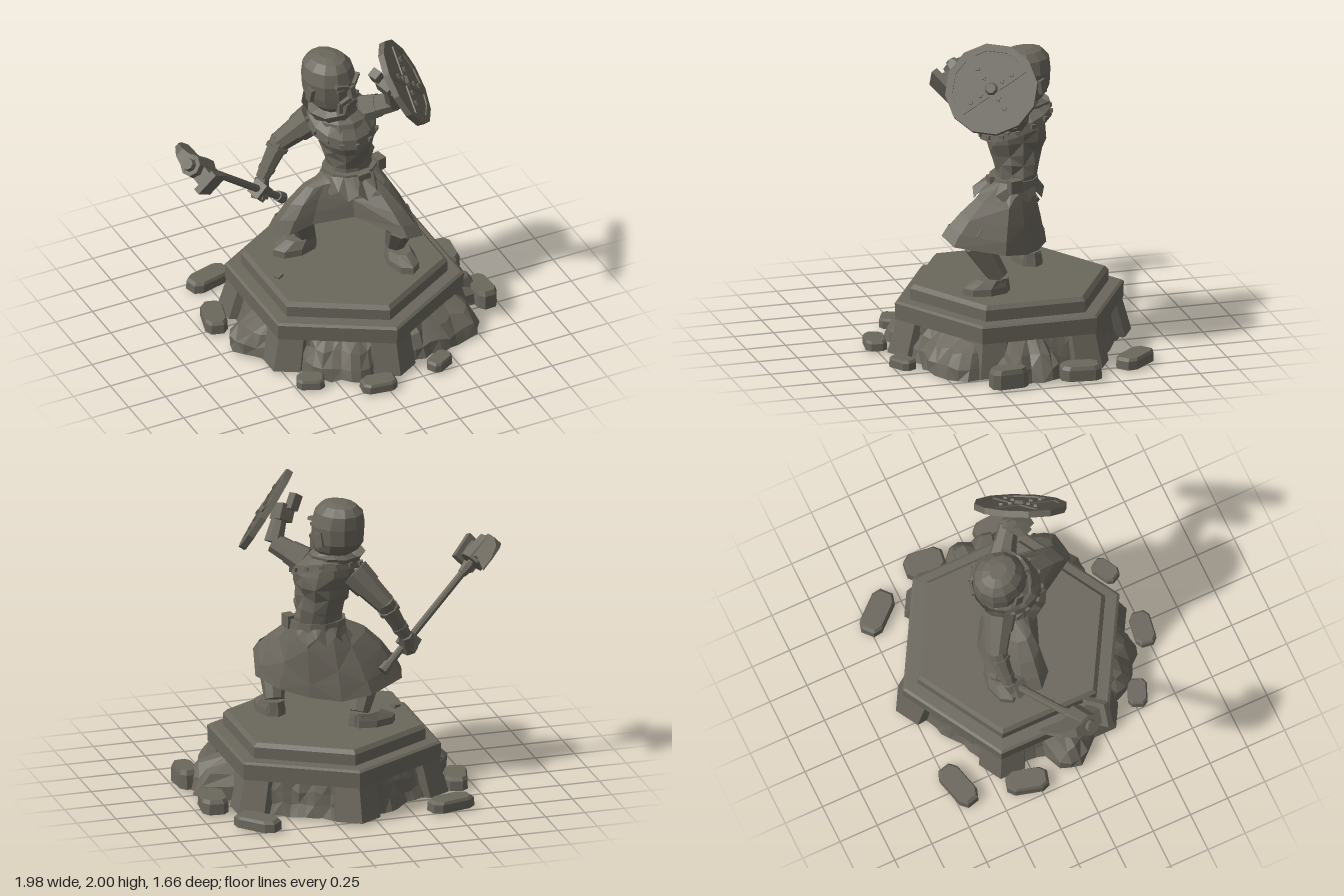
import * as THREE from 'three';

const stone = new THREE.MeshStandardMaterial({ color: 0x6b675d, side: THREE.DoubleSide });
stone.name = 'weathered stone';
const V = (x, y, z) => new THREE.Vector3(x, y, z);
const UP = V(0, 1, 0);

export function createModel() {
  const model = new THREE.Group();
  let seed = 7;
  const rnd = () => (seed = (seed * 16807) % 2147483647) / 2147483647 - 0.5;

  // Facet a geometry and add it under a name
  function add(name, geo, parent = model) {
    const g = geo.index ? geo.toNonIndexed() : geo;
    g.computeVertexNormals();
    const m = new THREE.Mesh(g, stone);
    m.name = name;
    parent.add(m);
    return m;
  }
  function box(name, size, pos, rot = [0, 0, 0], parent = model) {
    const m = add(name, new THREE.BoxGeometry(...size), parent);
    m.position.set(...pos);
    m.rotation.set(...rot);
    return m;
  }
  // Tapered segment from a to b
  function limb(name, a, b, ra, rb, n = 8) {
    const d = b.clone().sub(a);
    const m = add(name, new THREE.CylinderGeometry(rb, ra, d.length(), n));
    m.position.copy(a).addScaledVector(d, 0.5);
    m.quaternion.setFromUnitVectors(UP, d.normalize());
  }
  // Elliptical cross-section with optional roughness
  function ring(n, cx, y, cz, rx, rz, jit = 0) {
    return Array.from({ length: n }, (_, i) => {
      const a = (i / n) * Math.PI * 2, k = 1 + rnd() * jit;
      return V(cx + Math.sin(a) * rx * k, y + rnd() * jit * 0.2, cz + Math.cos(a) * rz * k);
    });
  }
  // Skin a stack of cross-sections, bottom to top
  function loft(rings, caps = true) {
    const p = [], n = rings[0].length;
    const tri = (...v) => v.forEach(q => p.push(q.x, q.y, q.z));
    for (let i = 0; i < rings.length - 1; i++)
      for (let j = 0; j < n; j++) {
        const k = (j + 1) % n, a = rings[i][j], b = rings[i][k], c = rings[i + 1][k], d = rings[i + 1][j];
        if ((i + j) % 2) { tri(a, b, c); tri(a, c, d); } else { tri(a, b, d); tri(b, c, d); }
      }
    if (caps) {
      const lo = rings[0], hi = rings[rings.length - 1];
      for (let j = 1; j < n - 1; j++) { tri(lo[0], lo[j + 1], lo[j]); tri(hi[0], hi[j], hi[j + 1]); }
    }
    const g = new THREE.BufferGeometry();
    g.setAttribute('position', new THREE.Float32BufferAttribute(p, 3));
    return g;
  }

  // Stepped hexagonal plinth, hollow below
  const CX = 0.115, CZ = -0.06;
  const steps = [[0, 0.35], [0.56, 0.35], [0.56, 0.23], [0.725, 0.23], [0.728, 0.33], [0.71, 0.342],
    [0.63, 0.345], [0.63, 0.415], [0.605, 0.44], [0, 0.44]].map(p => new THREE.Vector2(...p));
  add('plinth', new THREE.LatheGeometry(steps, 6)).position.set(CX, 0, CZ);

  // Rock shell: hexagonal wall swelling into boulders (x, z, radius)
  const boulders = [[-0.55, 0, 0.14], [-0.5, 0.08, 0.12], [0.78, -0.04, 0.15], [0.83, 0.12, 0.11], [0.64, 0.39, 0.15],
    [0.48, 0.45, 0.14], [0.31, 0.5, 0.11], [-0.1, 0.52, 0.14], [-0.26, 0.43, 0.13]];
  const hexR = a => 0.625 / Math.cos((a % (Math.PI / 3)) - Math.PI / 6);
  function rockR(a, wall, swell) {
    let r = hexR(a) * wall;
    for (const [x, z, br] of boulders) {
      const d = Math.hypot(x - CX, z - CZ), da = a - Math.atan2(x - CX, z - CZ), s = (br * swell) ** 2 - (d * Math.sin(da)) ** 2;
      if (s > 0 && Math.cos(da) > 0) r = Math.max(r, d * Math.cos(da) * (0.9 + 0.1 * swell) + Math.sqrt(s));
    }
    return r;
  }
  const shell = [[0.015, 1, 1], [0.09, 0.97, 0.92], [0.17, 0.95, 0.65], [0.235, 0.93, 0.1]].map(([y, wall, swell]) =>
    Array.from({ length: 78 }, (_, i) => {
      const a = (i / 78) * Math.PI * 2, r = rockR(a, wall, swell) * (1 + rnd() * 0.035);
      return V(CX + Math.sin(a) * r, y + (y < 0.2 ? rnd() * 0.025 : 0), CZ + Math.cos(a) * r);
    }));
  add('rockShell', loft(shell, false));

  // Flared corner buttresses
  for (let i = 0; i < 6; i++) {
    const rows = [[0.02, 0.775], [0.09, 0.755], [0.23, 0.715]].map(([y, r]) => {
      const e = r * 0.866 / Math.cos(Math.PI / 6 - 0.2), x = Math.sin(0.2) * e, z = Math.cos(0.2) * e;
      return [V(-0.13, y, 0.58), V(-x, y, z), V(0, y, r), V(x, y, z), V(0.13, y, 0.58)].reverse();
    });
    const b = add('cornerButtress', loft(rows));
    b.position.set(CX, 0, CZ);
    b.rotation.y = (i * Math.PI) / 3;
  }

  // Loose chamfered stones: x, z, length, width, turn, height
  const slab = (y, k) => [[0.5, 0.28], [0.5, -0.28], [0.33, -0.5], [-0.33, -0.5], [-0.5, -0.28], [-0.5, 0.28], [-0.33, 0.5], [0.33, 0.5]]
    .map(([x, z]) => V(x * k, y, z * k));
  for (const [x, z, l, w, t, h] of [[-0.49, -0.7, 0.29, 0.14, 0.25, 0.07], [0.73, -0.67, 0.29, 0.15, -0.85, 0.07],
    [-0.645, -0.31, 0.26, 0.14, 1.3, 0.08], [0.89, -0.275, 0.25, 0.16, 1.45, 0.09], [0.92, 0.19, 0.23, 0.13, -1.5, 0.12],
    [0.385, 0.7, 0.17, 0.11, 0.5, 0.06], [-0.05, 0.745, 0.22, 0.13, -0.15, 0.06], [-0.41, 0.54, 0.17, 0.12, -0.4, 0.06]]) {
    const s = add('looseStone', loft([slab(0, 1), slab(h * 0.75, 0.98), slab(h, 0.85)]));
    s.scale.set(l, 1, w);
    s.position.set(x, 0.012, z);
    s.rotation.y = t;
  }
  box('footing', [0.2, 0.03, 0.06], [0.12, 0.015, 0.6]);
  box('pebble', [0.05, 0.03, 0.04], [-0.35, 0.442, -0.02], [0, 0.5, 0.1]);

  // Legs and shoes
  function leg(side, hip, knee, ankle, turn) {
    limb(side + 'Thigh', hip, knee, 0.11, 0.09);
    limb(side + 'Calf', knee, ankle, 0.09, 0.062);
    limb(side + 'Ankle', ankle, V(ankle.x, 0.45, ankle.z), 0.062, 0.068);
    const shoe = add(side + 'Shoe', loft([ring(8, 0, 0, 0.08, 0.09, 0.155), ring(8, 0, 0.045, 0.08, 0.087, 0.15),
      ring(8, 0, 0.09, 0.04, 0.07, 0.1)]));
    shoe.position.set(ankle.x, 0.437, ankle.z);
    shoe.rotation.y = turn;
  }
  leg('left', V(0.22, 0.98, -0.02), V(0.36, 0.75, 0.22), V(0.385, 0.53, 0.09), 0.05);
  leg('right', V(0.08, 0.98, -0.1), V(-0.14, 0.75, -0.16), V(-0.05, 0.52, -0.25), -1.5);

  // Kilt stretched over the lunging knees
  const hem = [V(0.3, 0.8, 0.42), V(0.42, 0.76, 0.38), V(0.5, 0.7, 0.08), V(0.4, 0.66, -0.08), V(0.25, 0.63, -0.2), V(0.08, 0.62, -0.3),
    V(-0.1, 0.65, -0.32), V(-0.33, 0.69, -0.19), V(-0.36, 0.72, -0.08), V(-0.28, 0.74, 0), V(-0.13, 0.78, 0.01), V(0.1, 0.82, 0.1)];
  const waist = hem.map(h => {
    const a = Math.atan2(h.x - 0.15, h.z + 0.08);
    return V(0.16 + Math.sin(a) * 0.16, 1.07, -0.07 + Math.cos(a) * 0.13);
  });
  const mix = (t, lift) => hem.map((h, i) => h.clone().lerp(waist[i], t)
    .add(V(0, lift + Math.sin(t * Math.PI) * (h.x < -0.12 ? 0.055 : 0.01), 0)));
  add('kilt', loft([hem, mix(0.1, 0.02), mix(0.33, 0.025), mix(0.62, 0.02), waist], false));
  add('kiltHemBand', loft([mix(0, 0), mix(0.13, 0.025)].map(r => r.map(p => V(0.08 + (p.x - 0.08) * 1.02, p.y, p.z * 1.02))), false));

  // Pointed tunic skirt, faceted torso and belt
  const points = ring(20, 0.16, 0.99, -0.04, 0.195, 0.22).map((p, i) => V(p.x, p.y + (i % 2 ? 0.035 : -0.02), p.z));
  add('tunicSkirt', loft([points, ring(20, 0.16, 1.09, -0.07, 0.165, 0.135)], false));
  add('torso', loft([ring(12, 0.16, 1.05, -0.08, 0.155, 0.125), ring(12, 0.16, 1.13, -0.09, 0.15, 0.13, 0.12),
    ring(12, 0.16, 1.19, -0.095, 0.152, 0.145, 0.2), ring(12, 0.15, 1.26, -0.09, 0.16, 0.165, 0.2), ring(12, 0.14, 1.33, -0.09, 0.178, 0.182, 0.16),
    ring(12, 0.125, 1.41, -0.095, 0.195, 0.195, 0.08), ring(12, 0.115, 1.48, -0.11, 0.17, 0.17, 0.06), ring(12, 0.1, 1.55, -0.14, 0.1, 0.1)]));
  add('belt', loft([ring(12, 0.16, 1.05, -0.075, 0.178, 0.152), ring(12, 0.16, 1.1, -0.075, 0.173, 0.147)]));
  box('beltBuckle', [0.08, 0.07, 0.03], [0.18, 1.075, 0.08], [0, 0, 0.1]);
  box('beltPouch', [0.06, 0.08, 0.08], [0.33, 1.08, -0.03], [0, 0.2, 0]);

  // Studded yoke draped over the shoulders, and the standing collar
  const yokeRing = (rx, rz, y, dip) => ring(14, 0.115, 0, -0.1, rx, rz).map((p, i) =>
    V(p.x, y - dip * Math.cos((i / 14) * Math.PI * 2), p.z));
  const outer = yokeRing(0.215, 0.225, 1.405, 0.075);
  add('yoke', loft([outer, yokeRing(0.205, 0.215, 1.46, 0.065), yokeRing(0.13, 0.15, 1.52, 0.035)], false));
  outer.forEach(p => box('yokeStud', [0.025, 0.025, 0.02], [p.x, p.y + 0.028, p.z * 0.98],
    [0, Math.atan2(p.x - 0.115, p.z + 0.1), 0]));
  add('collar', loft([ring(10, 0.09, 1.46, -0.13, 0.15, 0.15), ring(10, 0.06, 1.54, -0.15, 0.18, 0.185, 0.12)], false));

  // Head turned a little to its left
  const head = new THREE.Group();
  head.name = 'head';
  head.position.set(0.06, 1.53, -0.165);
  head.rotation.y = 0.42;
  model.add(head);
  add('skull', loft([[0, 0.1, 0.1, 0.04], [0.04, 0.135, 0.145, 0.02], [0.1, 0.155, 0.168, 0], [0.2, 0.162, 0.173, 0], [0.28, 0.14, 0.158, -0.01],
    [0.325, 0.095, 0.12, -0.01], [0.341, 0.045, 0.06, -0.01]].map(([y, rx, rz, z]) => ring(12, 0, y, z, rx, rz))), head);
  box('nose', [0.04, 0.075, 0.05], [0, 0.145, 0.175], [-0.25, 0, 0], head);
  box('chinBeard', [0.1, 0.09, 0.06], [0, 0.035, 0.15], [0.2, 0, 0], head);
  box('mouth', [0.06, 0.015, 0.03], [0, 0.075, 0.172], [0, 0, 0], head);
  for (const s of [-1, 1]) {
    box('brow', [0.09, 0.025, 0.04], [s * 0.06, 0.2, 0.153], [0, s * 0.35, s * 0.3], head);
    box('eye', [0.05, 0.02, 0.02], [s * 0.065, 0.168, 0.152], [0, s * 0.35, s * 0.15], head);
    box('moustache', [0.075, 0.025, 0.04], [s * 0.04, 0.095, 0.165], [0, s * 0.3, -s * 0.35], head);
    box('moustacheEnd', [0.024, 0.07, 0.035], [s * 0.07, 0.05, 0.145], [0, s * 0.3, 0], head);
    box('ear', [0.03, 0.09, 0.05], [s * 0.16, 0.13, -0.01], [0.2, s * 0.3, 0], head);
  }

  // Right arm with bracer, holding the weapon
  const rS = V(-0.03, 1.41, -0.2), rE = V(-0.2, 1.22, -0.305), rW = V(-0.33, 1.0, -0.285), grip = V(-0.365, 0.945, -0.245);
  limb('rightUpperArm', rS, rE, 0.09, 0.065);
  limb('rightSleeve', rS, rS.clone().lerp(rE, 0.45), 0.1, 0.088);
  limb('rightForearm', rE.clone().add(V(0.01, 0.02, 0)), rW, 0.065, 0.042);
  for (const t of [0.12, 0.7]) limb('rightBracerBand', rE.clone().lerp(rW, t), rE.clone().lerp(rW, t + 0.1), 0.075 - t * 0.03, 0.073 - t * 0.03);
  limb('rightHand', rW, V(-0.37, 0.89, -0.24), 0.045, 0.055, 7);
  box('rightFingers', [0.1, 0.09, 0.09], grip.toArray(), [0.2, 0.3, 0.7]);

  // Long-hafted axe with a hammer back
  const butt = V(-0.18, 0.79, -0.31), tip = V(-0.93, 1.445, -0.035);
  limb('haft', butt, tip, 0.024, 0.024);
  limb('haftPommel', butt, butt.clone().lerp(tip, 0.06), 0.038, 0.034);
  limb('haftCollar', butt.clone().lerp(tip, 0.76), butt.clone().lerp(tip, 0.83), 0.03, 0.042);
  const axe = new THREE.Group();
  axe.name = 'axeHead';
  axe.position.set(-0.875, 1.39, -0.055);
  axe.quaternion.setFromUnitVectors(UP, tip.clone().sub(butt).normalize());
  model.add(axe);
  box('hammerFace', [0.16, 0.18, 0.042], [0, -0.01, 0.128], [0.25, 0, 0], axe);
  add('axeSocket', new THREE.CylinderGeometry(0.07, 0.08, 0.17, 8).translate(0, 0.01, 0), axe);
  box('hammerNeck', [0.1, 0.11, 0.1], [0, -0.005, 0.06], [0, 0, 0], axe);
  add('haftCap', new THREE.CylinderGeometry(0.035, 0.045, 0.04, 8).translate(0, 0.105, 0), axe);
  const blade = new THREE.Shape([[0, -0.06], [0.1, -0.05], [0.24, -0.12], [0.235, -0.03], [0.19, 0.06], [0.11, 0.11], [0, 0.1]]
    .map(p => new THREE.Vector2(...p)));
  const bladeGeo = new THREE.ExtrudeGeometry(blade, { depth: 0.11, bevelEnabled: false });
  bladeGeo.translate(0, 0, -0.055);
  const bp = bladeGeo.attributes.position;
  for (let i = 0; i < bp.count; i++) bp.setZ(i, bp.getZ(i) * (1 - 3.9 * bp.getX(i)));
  bladeGeo.rotateY(Math.PI / 2);
  add('axeBlade', bladeGeo, axe);

  // Left arm raised behind the shield
  const lS = V(0.24, 1.47, -0.07), lE = V(0.4, 1.56, 0.06), lH = V(0.345, 1.7, 0.11);
  limb('leftUpperArm', lS, lE, 0.08, 0.062);
  limb('leftSleeve', lS, lS.clone().lerp(lE, 0.5), 0.088, 0.076);
  limb('leftForearm', lE, lH, 0.062, 0.048);
  box('leftHand', [0.1, 0.1, 0.1], [0.33, 1.73, 0.1], [0.3, 0.4, 0.4]);
  box('shieldGrip', [0.06, 0.1, 0.06], [0.265, 1.8, 0.08], [0.2, 0.4, 0.5]);

  // Round shield with rim, cross bands, boss and rivets
  const shield = new THREE.Group();
  shield.name = 'shield';
  shield.position.set(0.42, 1.745, 0.145);
  shield.quaternion.setFromUnitVectors(V(0, 0, 1), V(0.77, 0.51, 0.38).normalize());
  model.add(shield);
  add('shieldBoard', new THREE.CylinderGeometry(0.275, 0.275, 0.025, 12).rotateX(Math.PI / 2), shield);
  const circle = r => Array.from({ length: 12 }, (_, i) => new THREE.Vector2(r * Math.sin(i * Math.PI / 6), r * Math.cos(i * Math.PI / 6)));
  const rim = new THREE.Shape(circle(0.285));
  rim.holes.push(new THREE.Path(circle(0.24)));
  add('shieldRim', new THREE.ExtrudeGeometry(rim, { depth: 0.04, bevelEnabled: false }).translate(0, 0, -0.018), shield);
  add('shieldBoss', new THREE.CylinderGeometry(0.03, 0.05, 0.03, 8).rotateX(Math.PI / 2).translate(0, 0, 0.025), shield);
  for (let i = 0; i < 4; i++) {
    const arm = new THREE.Group();
    arm.name = 'shieldCrossArm';
    arm.rotation.z = 1.0 + (i * Math.PI) / 2;
    shield.add(arm);
    box('band', [0.25, 0.07, 0.02], [0.125, 0, 0.012], [0, 0, 0], arm);
    for (const x of [0.08, 0.15]) box('rivet', [0.022, 0.022, 0.02], [x, 0, 0.027], [0, 0, 0.78], arm);
  }
  return model;
}
